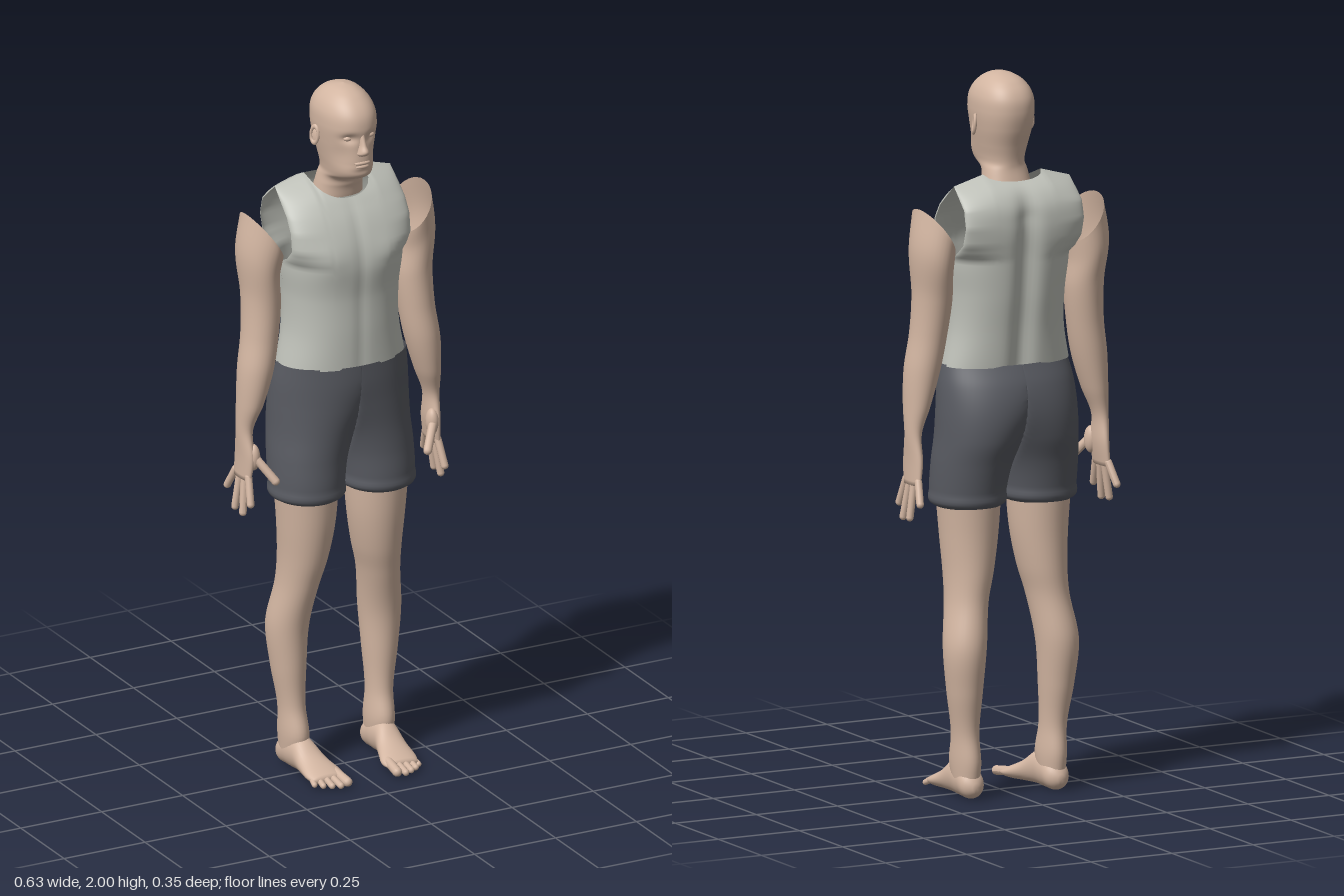
import * as THREE from 'three';
import { mergeGeometries, mergeVertices } from 'three/addons/utils/BufferGeometryUtils.js';

// Smooth or straight interpolation through rows of [position, ...values]
function track(rows, Kind = THREE.CubicInterpolant) {
  const n = rows[0].length - 1;
  const f = new Kind(rows.map(r => r[0]), rows.flatMap(r => r.slice(1)), n, new Array(n));
  return t => Array.from(f.evaluate(t));
}

function build(pos, idx) {
  const g = new THREE.BufferGeometry();
  g.setAttribute('position', new THREE.Float32BufferAttribute(pos, 3));
  g.setIndex(idx);
  g.computeVertexNormals();
  return g;
}

const bulge = (v, power) => Math.sign(v) * Math.abs(v) ** power;

// Skin over oval sections, rows of [y, centre x, half width, back z, front z, tilt]
function loft(rows, { rings = 40, sides = 32, capTop = false, capBottom = false, half = false, mid = 0.5, power = 1, shape } = {}) {
  const at = track(rows.map(([y, cx, rx, zb, zf, tilt = 0]) => [y, cx, rx, zb, zf, tilt])), pos = [], idx = [];
  const y0 = rows[0][0], y1 = rows[rows.length - 1][0];
  for (let i = 0; i <= rings; i++) {
    const y = y0 + (y1 - y0) * i / rings;
    const [cx, rx, zb, zf, tilt] = at(y);
    const cz = zb + (zf - zb) * mid;
    for (let j = 0; j < sides; j++) {
      const a = j / sides * Math.PI * 2, c = bulge(Math.cos(a), power), s = bulge(Math.sin(a), power);
      const p = new THREE.Vector3(cx + Math.max(rx, 0) * c, y + tilt * rx * c, cz + (s > 0 ? zf - cz : cz - zb) * s);
      if (half) p.x = Math.max(0, p.x);
      if (shape) shape(p);
      pos.push(p.x, p.y, p.z);
    }
  }
  const tri = (a, b, c) => {
    if (!half || pos[a * 3] + pos[b * 3] + pos[c * 3] > 0) idx.push(a, b, c);
  };
  for (let i = 0; i < rings; i++) for (let j = 0; j < sides; j++) {
    const k = (j + 1) % sides, a = i * sides + j, b = i * sides + k;
    tri(a, a + sides, b);
    tri(b, a + sides, b + sides);
  }
  const cap = (row, top) => {
    const [cx, , zb, zf] = at(row), m = pos.length / 3, o = top ? rings * sides : 0;
    pos.push(cx, row, (zb + zf) / 2);
    for (let j = 0; j < sides; j++) {
      const k = (j + 1) % sides;
      if (top) idx.push(o + j, m, o + k); else idx.push(o + j, o + k, m);
    }
  };
  if (capTop) cap(y1, true);
  if (capBottom) cap(y0, false);
  return build(pos, idx);
}

// Rounded rod between two points, for fingers and toes
function rod(a, b, r) {
  const p = new THREE.Vector3(...a), d = new THREE.Vector3(...b).sub(p), len = d.length();
  const g = new THREE.CapsuleGeometry(r, Math.max(len - r, 0.001), 5, 12);
  g.applyQuaternion(new THREE.Quaternion().setFromUnitVectors(new THREE.Vector3(0, 1, 0), d.clone().normalize()));
  return g.translate(...p.addScaledVector(d, 0.5).toArray());
}

const blob = (x, y, z, sx, sy, sz) => new THREE.SphereGeometry(1, 20, 14).scale(sx, sy, sz).translate(x, y, z);

function mirrored(g) {
  const m = g.clone().scale(-1, 1, 1), ix = m.index.array;
  for (let i = 0; i < ix.length; i += 3) [ix[i], ix[i + 1]] = [ix[i + 1], ix[i]];
  m.computeVertexNormals();
  return m;
}

// Sleeveless top: a front and a back panel joined at the sides and shoulders
function shirtGeometry() {
  const width = track([[1.2, .186], [1.3, .168], [1.4, .168], [1.48, .178], [1.55, .181], [1.65, .181], [1.73, .178]]);
  const centre = [
    track([[1.2, .098], [1.3, .1], [1.4, .1], [1.5, .106], [1.58, .088], [1.65, .05], [1.7, 0], [1.73, -.07]]),
    track([[1.2, -.13], [1.3, -.142], [1.4, -.157], [1.5, -.168], [1.6, -.176], [1.66, -.164], [1.7, -.13], [1.73, -.07]])];
  const edge = [
    track([[1.2, -.035], [1.5, -.035], [1.52, .005], [1.55, .035], [1.6, .03], [1.65, .005], [1.73, -.07]], THREE.LinearInterpolant),
    track([[1.2, -.035], [1.5, -.035], [1.52, -.09], [1.55, -.13], [1.6, -.147], [1.66, -.135], [1.73, -.07]], THREE.LinearInterpolant)];
  const cols = 48, rows = 53;
  const panels = [0, 1].map(side => {
    const pos = [], idx = [];
    for (let i = 0; i <= rows; i++) for (let j = 0; j <= cols; j++) {
      const u = Math.sin((j / cols - 0.5) * Math.PI), au = Math.abs(u);
      const dip = au < 0.5 ? Math.sqrt(1 - (au / 0.5) ** 2) * (side ? 0.02 : 0.055) : 0;
      const p = 1.2 + (0.53 - dip) * i / rows;
      const x = u * width(p)[0], e = edge[side](p)[0], c = centre[side](p)[0];
      let z = e + (c - e) * Math.sqrt(Math.max(0, 1 - au ** 2.5));
      const fade = THREE.MathUtils.clamp((1.72 - p) / 0.1, 0, 1);
      z += side ? 0.02 * fade * Math.exp(-((x / 0.03) ** 2))
        : -0.004 * fade * Math.exp(-((x / 0.016) ** 2)) + 0.008 * Math.exp(-(((au - .5) / .3) ** 2) - ((p - 1.52) / .05) ** 2);
      pos.push(x, p - 0.025 * Math.max(0, au - 0.5) * 2 * Math.max(0, (p - 1.6) / 0.13), z);
      if (i < rows && j < cols) {
        const a = i * (cols + 1) + j, b = a + 1, d = a + cols + 1;
        if (side) idx.push(a, d, b, b, d, d + 1); else idx.push(a, b, d, b, d + 1, d);
      }
    }
    return build(pos, idx);
  });
  const g = mergeGeometries(panels);
  g.deleteAttribute('normal');
  const welded = mergeVertices(g, 1e-4);
  welded.computeVertexNormals();
  return welded;
}

export function createModel() {
  const model = new THREE.Group();
  const material = (name, color) => new THREE.MeshStandardMaterial({ name, color, side: THREE.DoubleSide });
  const skin = material('skin', 0xd2b5a1), cloth = material('shirt grey', 0xbfc1b9), dark = material('shorts grey', 0x585a61);
  const add = (name, g, m) => {
    const mesh = new THREE.Mesh(g, m);
    mesh.name = name;
    model.add(mesh);
  };
  const pair = (name, g, m) => {
    add('left' + name, g, m);
    add('right' + name, mirrored(g), m);
  };

  // Head and neck, with hollows for the eyes
  const dent = (p, x, y, w, h, d) => {
    if (p.z > 0) p.z -= d * Math.exp(-(((Math.abs(p.x) - x) / w) ** 2) - ((p.y - y) / h) ** 2);
  };
  add('head', loft([
    [1.675, 0, .07, -.1, .02], [1.71, 0, .065, -.09, .028], [1.738, 0, .06, -.084, .045], [1.752, 0, .058, -.084, .088],
    [1.768, 0, .06, -.086, .106], [1.8, 0, .066, -.094, .107], [1.85, 0, .075, -.11, .105], [1.9, 0, .08, -.118, .11],
    [1.94, 0, .076, -.112, .1], [1.97, 0, .06, -.09, .074], [1.988, 0, .039, -.062, .046], [1.997, 0, .018, -.03, .018],
    [2, 0, .001, -.008, -.006]],
  { rings: 100, sides: 64, mid: 0.45, power: 0.9, capTop: true, shape: p => {
    dent(p, .034, 1.874, .02, .014, .012);
    dent(p, 0, 1.777, .03, .01, .005);
    dent(p, .055, 1.82, .02, .03, .006);
  } }), skin);
  add('nose', loft([
    [1.822, 0, .008, .09, .108], [1.828, 0, .017, .085, .121], [1.838, 0, .015, .085, .13], [1.855, 0, .01, .085, .121],
    [1.88, 0, .008, .085, .111], [1.9, 0, .006, .085, .106]], { rings: 20, sides: 20, capTop: true, capBottom: true }), skin);
  add('upperLip', blob(0, 1.802, .102, .024, .006, .009), skin);
  add('lowerLip', blob(0, 1.791, .101, .021, .007, .009), skin);
  pair('Eyelid', blob(.033, 1.873, .082, .014, .008, .01), skin);
  const ear = [new THREE.TorusGeometry(.016, .005, 8, 20).scale(.8, 1.45, 1), blob(0, -.004, -.003, .012, .02, .004)];
  pair('Ear', mergeGeometries(ear).rotateX(-.1).rotateY(1.2).translate(.085, 1.86, -.014), skin);

  // Clothes
  add('shirt', shirtGeometry(), cloth);
  pair('ShortsHalf', loft([
    [.808, .108, .09, -.112, .078], [.815, .108, .102, -.124, .09], [.85, .108, .104, -.13, .093], [.93, .1, .111, -.147, .09],
    [1, .082, .124, -.167, .09], [1.08, .05, .153, -.173, .095], [1.15, .018, .18, -.16, .1], [1.205, 0, .189, -.133, .1]],
  { rings: 50, sides: 64, half: true }), dark);

  // Legs and feet
  pair('Leg', loft([
    [.05, .132, .034, -.105, .0], [.1, .132, .038, -.11, .012], [.18, .135, .036, -.102, -.006], [.3, .141, .048, -.12, -.005],
    [.42, .142, .058, -.133, .002], [.55, .124, .058, -.113, .032], [.62, .114, .066, -.112, .05], [.72, .108, .078, -.112, .066],
    [.86, .108, .09, -.118, .076]], { rings: 56 }), skin);
  // The foot is lofted along z: "back" is its top and "front" its sole
  const foot = loft([
    [-.113, .131, .012, -.05, -.022], [-.1, .131, .029, -.07, -.008], [-.05, .13, .037, -.1, -.003], [0, .128, .037, -.102, -.005],
    [.05, .122, .045, -.068, -.005], [.1, .115, .053, -.044, -.005], [.128, .113, .046, -.032, -.01]],
  { rings: 30, capTop: true, capBottom: true }).rotateX(Math.PI / 2);
  pair('Foot', foot, skin);
  [[.076, .174, .0135], [.1, .176, .0095], [.122, .166, .009], [.143, .153, .0085], [.161, .135, .008]].forEach(([x, z, r], i) =>
    pair('Toe' + (i + 1), rod([x * .85 + .018, .028, .09], [x, r + .004, z - r / 2], r), skin));

  // Arms, open and slanted at the shoulder
  pair('Arm', loft([
    [.885, .292, .013, -.088, .002], [.95, .287, .018, -.086, .008], [1.025, .288, .021, -.073, -.008], [1.1, .274, .035, -.082, .012],
    [1.2, .257, .048, -.092, .024], [1.3, .241, .05, -.1, .02], [1.4, .234, .052, -.115, .02, .2], [1.5, .24, .053, -.138, .03, .7],
    [1.58, .229, .044, -.146, .046, 1.5]], { rings: 60, capBottom: true }), skin);
  [[-.01, .02, .82, .3], [-.032, -.015, .786, .306], [-.056, -.058, .79, .308], [-.078, -.112, .835, .304]].forEach(([z0, z1, y, x], i) =>
    pair('Finger' + (i + 1), rod([.292, .9, z0], [x, y, z1], .0105), skin));
  pair('Thumb', rod([.284, .965, -.012], [.232, .885, .044], .012), skin);
  pair('ThumbBase', blob(.276, .95, -.01, .018, .038, .022), skin);
  return model;
}
